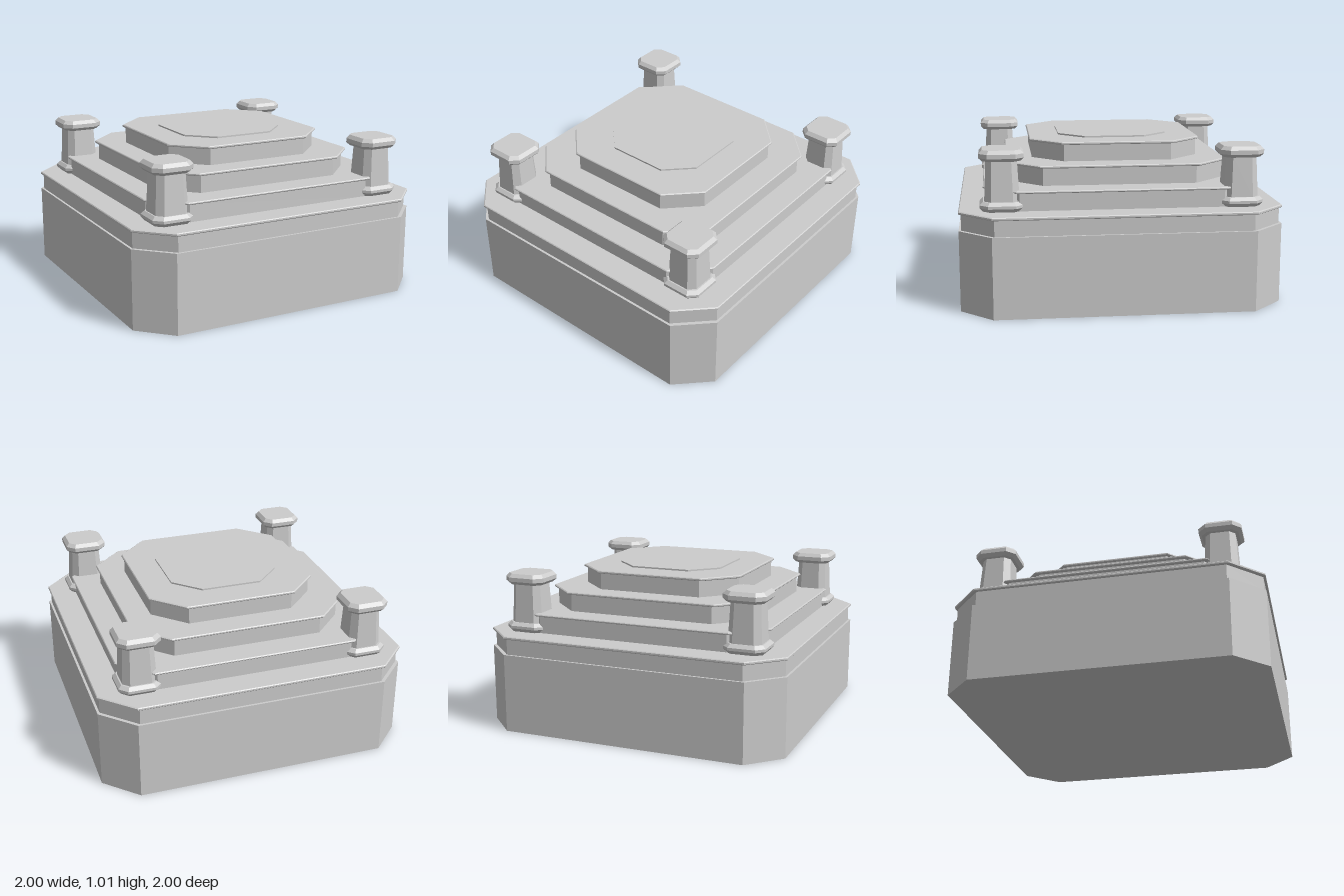
import * as THREE from 'three';

// Corners of a square of half width h with its corners cut by c, at height y
function ring([h, c, y]) {
  const k = h - c;
  return [[h, k], [k, h], [-k, h], [-h, k], [-h, -k], [-k, -h], [k, -h], [h, -k]]
    .map(([x, z]) => [x, y, z]);
}

// Closed solid through a stack of cut-corner squares, listed bottom to top
function stack(sections) {
  const rings = sections.map(ring);
  const pos = [];
  const tri = (a, b, c) => pos.push(...a, ...b, ...c);
  for (let r = 0; r < rings.length - 1; r++) {
    for (let i = 0; i < 8; i++) {
      const j = (i + 1) % 8;
      const a = rings[r][i], b = rings[r][j], c = rings[r + 1][j], d = rings[r + 1][i];
      tri(a, d, c);
      tri(a, c, b);
    }
  }
  const low = rings[0], top = rings[rings.length - 1];
  for (let i = 1; i < 7; i++) {
    tri(low[0], low[i], low[i + 1]);
    tri(top[0], top[i + 1], top[i]);
  }
  const geo = new THREE.BufferGeometry();
  geo.setAttribute('position', new THREE.Float32BufferAttribute(pos, 3));
  geo.computeVertexNormals();
  return geo;
}

export function createModel() {
  const model = new THREE.Group();
  model.name = 'steppedPedestal';
  const stone = new THREE.MeshStandardMaterial({ color: 0xcccccc });
  stone.name = 'grey stone';

  const add = (parent, name, sections) => {
    const mesh = new THREE.Mesh(stack(sections), stone);
    mesh.name = name;
    parent.add(mesh);
  };

  // Thin rim with bevelled edges
  const rim = (h, c, y0, y1) => {
    const b = 0.005;
    return [[h - b, c, y0], [h, c, y0 + b], [h, c, y1 - b], [h - b, c, y1]];
  };

  // Block base and recessed neck
  add(model, 'base', [[1, 0.2, 0], [1, 0.2, 0.505]]);
  add(model, 'neck', [[0.985, 0.2, 0.505], [0.985, 0.2, 0.605]]);
  add(model, 'baseRim', rim(1, 0.2, 0.605, 0.625));

  // Shrinking steps, each with an overhanging rim
  const steps = [
    [0.83, 0.85, 0.2, 0.625, 0.735, 0.75],
    [0.68, 0.70, 0.2, 0.75, 0.86, 0.877],
    [0.535, 0.55, 0.195, 0.877, 0.982, 1.0],
  ];
  steps.forEach(([body, lip, cut, y0, y1, y2], i) => {
    add(model, `step${i + 1}`, [[body, cut, y0], [body, cut, y1]]);
    add(model, `stepRim${i + 1}`, rim(lip, cut, y1, y2));
  });

  // Low plate on the top step
  add(model, 'topPlate', [[0.355, 0.16, 1.0], [0.355, 0.16, 1.01]]);

  // Four corner posts with foot, tapered shaft and cap
  for (const x of [-0.735, 0.735]) {
    for (const z of [-0.735, 0.735]) {
      const post = new THREE.Group();
      post.name = `${z > 0 ? 'front' : 'back'}${x > 0 ? 'Left' : 'Right'}Post`;
      add(post, 'foot', [[0.115, 0.04, 0.625], [0.135, 0.05, 0.648], [0.135, 0.05, 0.665], [0.115, 0.04, 0.685]]);
      add(post, 'shaft', [[0.107, 0.04, 0.685], [0.094, 0.035, 0.935]]);
      add(post, 'cap', [[0.115, 0.04, 0.932], [0.135, 0.05, 0.952], [0.135, 0.05, 0.978], [0.115, 0.04, 1.0]]);
      post.position.set(x, 0, z);
      model.add(post);
    }
  }
  return model;
}
